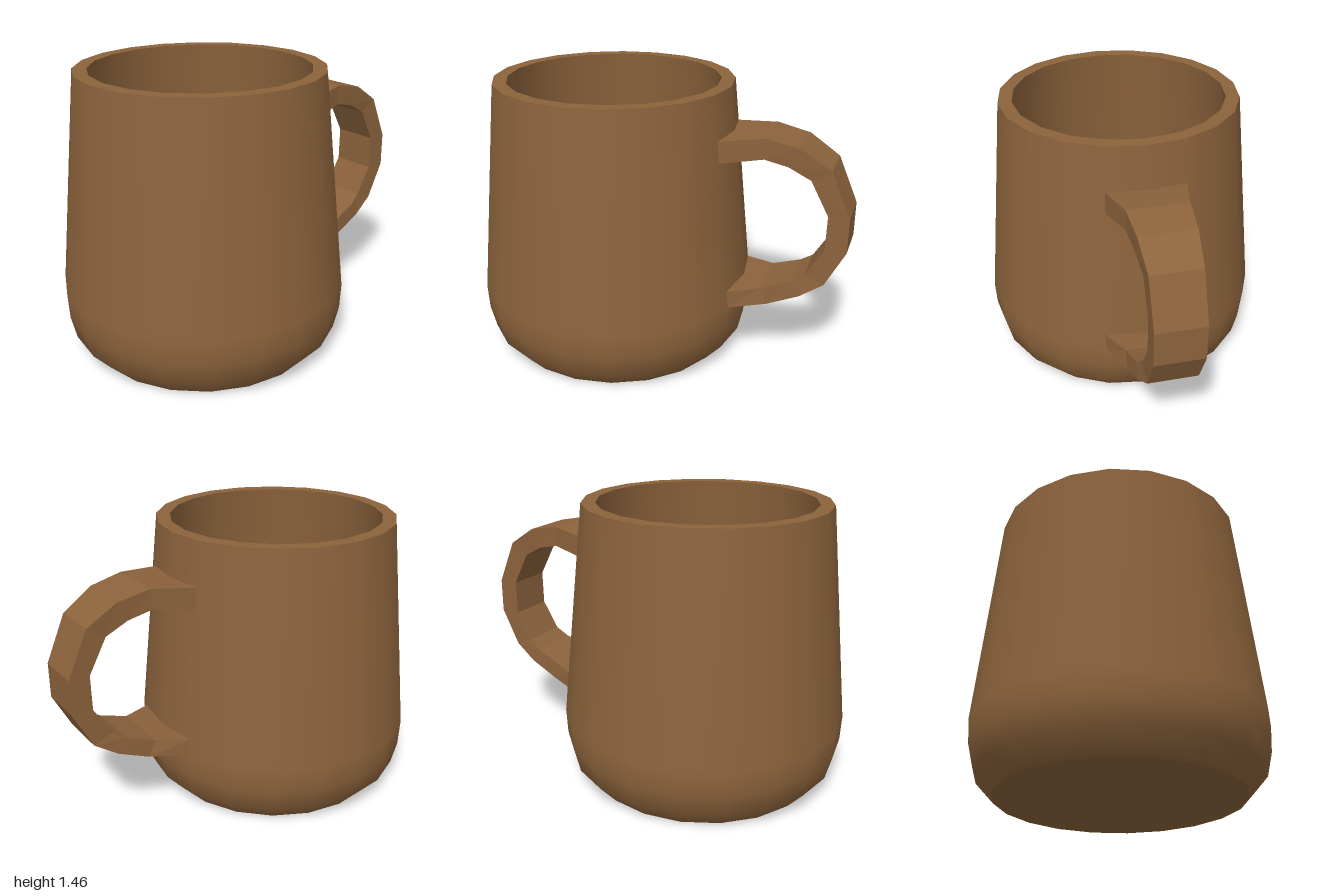
import * as THREE from 'three';

const SIDES = 20;
const BODY_X = -0.265;

export function createModel() {
  const model = new THREE.Group();
  const clay = new THREE.MeshStandardMaterial({ color: 0x8c633c });
  const clayFaceted = new THREE.MeshStandardMaterial({ color: 0x8c633c, flatShading: true });

  // Mug body: one lathe per smooth zone, so the edges between zones stay sharp
  const body = new THREE.Group();
  body.name = 'body';
  body.position.x = BODY_X;
  const zones = {
    base: [[0, 0], [0.61, 0]],
    outerWall: [[0.61, 0], [0.7, 0.1], [0.728, 0.22], [0.735, 0.35], [0.623, 1.455]],
    rim: [[0.623, 1.455], [0.552, 1.455]],
    innerWall: [[0.552, 1.455], [0.66, 0.37], [0.652, 0.26], [0.62, 0.16], [0.485, 0.08]],
    floor: [[0.485, 0.08], [0, 0.08]],
  };
  for (const [name, profile] of Object.entries(zones)) {
    const points = profile.map(([r, y]) => new THREE.Vector2(r, y));
    const mesh = new THREE.Mesh(new THREE.LatheGeometry(points, SIDES), clay);
    mesh.name = name;
    body.add(mesh);
  }
  model.add(body);

  // Handle: four-cornered sections [outer x, outer y, inner x, inner y, half width]
  const handle = new THREE.Mesh(loft([
    [0.35, 1.23, 0.36, 1.12, 0.2],
    [0.57, 1.255, 0.57, 1.15, 0.15],
    [0.74, 1.22, 0.69, 1.12, 0.138],
    [0.895, 1.12, 0.8, 1.06, 0.124],
    [0.998, 0.885, 0.893, 0.885, 0.122],
    [0.998, 0.705, 0.89, 0.705, 0.122],
    [0.9, 0.515, 0.8, 0.555, 0.124],
    [0.78, 0.435, 0.735, 0.51, 0.138],
    [0.62, 0.37, 0.585, 0.455, 0.153],
    [0.43, 0.35, 0.425, 0.44, 0.225],
  ]), clayFaceted);
  handle.name = 'handle';
  model.add(handle);
  return model;
}

// Joins the sections into a closed, faceted strap
function loft(sections) {
  const positions = [];
  for (const [ox, oy, ix, iy, w] of sections) {
    positions.push(ox, oy, w, ox, oy, -w, ix, iy, -w, ix, iy, w);
  }
  const index = [];
  const quad = (a, b, c, d) => index.push(a, b, c, a, c, d);
  for (let s = 0; s < sections.length - 1; s++) {
    for (let k = 0; k < 4; k++) {
      const i = s * 4, n = (k + 1) % 4;
      quad(i + k, i + 4 + k, i + 4 + n, i + n);
    }
  }
  const e = (sections.length - 1) * 4;
  quad(0, 1, 2, 3);
  quad(e + 3, e + 2, e + 1, e);
  const geometry = new THREE.BufferGeometry();
  geometry.setAttribute('position', new THREE.Float32BufferAttribute(positions, 3));
  geometry.setIndex(index);
  const flat = geometry.toNonIndexed();
  flat.computeVertexNormals();
  return flat;
}
